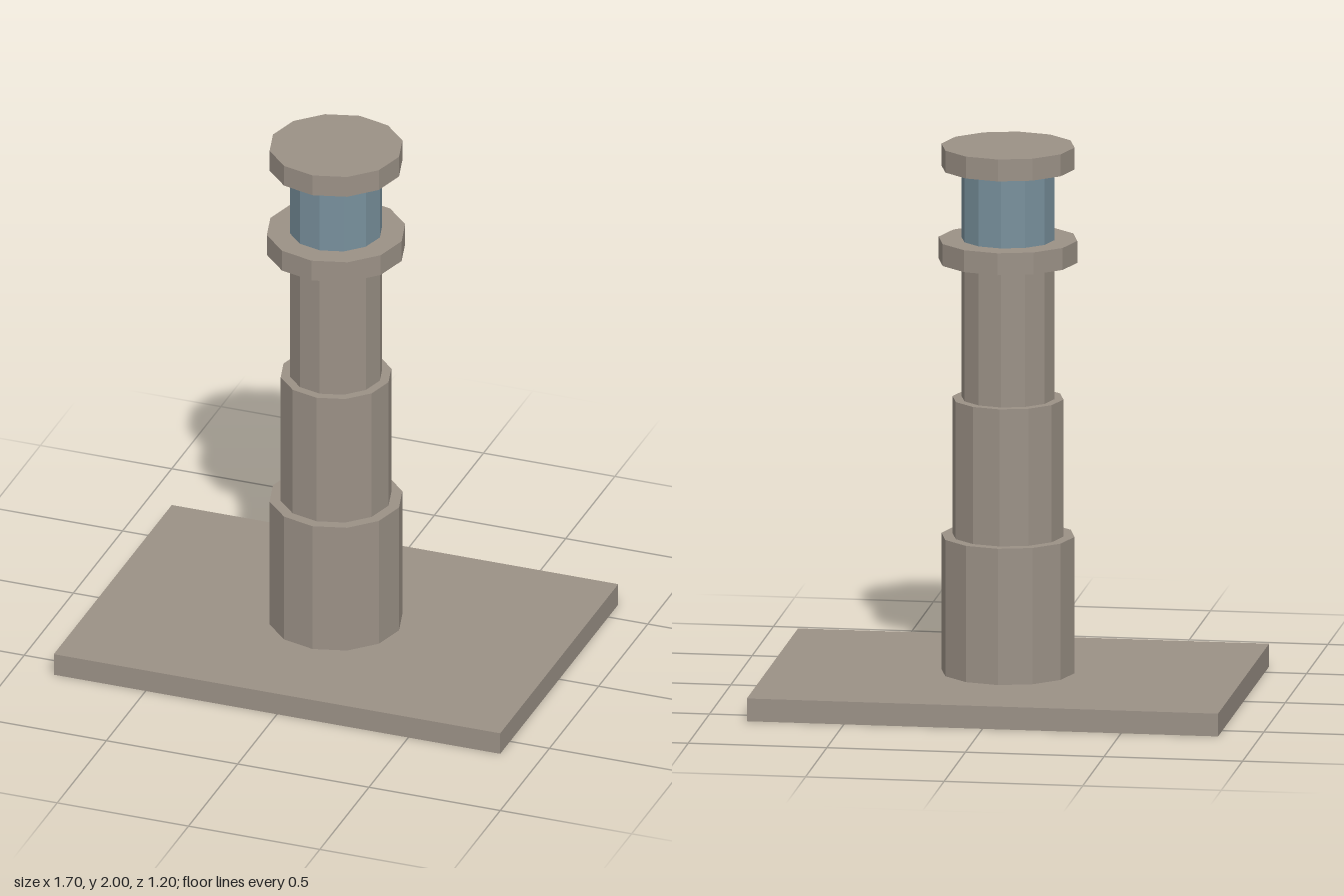
import * as THREE from 'three';

export function createModel() {
  const model = new THREE.Group();
  model.name = 'lighthouse';

  const stone = new THREE.MeshStandardMaterial({ color: 0x9b9186 });
  stone.name = 'warm grey stone';
  const glass = new THREE.MeshStandardMaterial({ color: 0x78909c });
  glass.name = 'blue grey glass';
  stone.flatShading = glass.flatShading = true;

  // Ground slab
  const slabHeight = 0.083;
  const slab = new THREE.Mesh(new THREE.BoxGeometry(1.7, slabHeight, 1.2), stone);
  slab.name = 'baseSlab';
  slab.position.y = slabHeight / 2;
  model.add(slab);

  // Twelve-sided drums stacked from the slab up: name, radius, top height, material
  const drums = [
    ['lowerTower', 0.24, 0.58, stone],
    ['middleTower', 0.2, 1.08, stone],
    ['upperTower', 0.167, 1.58, stone],
    ['gallery', 0.25, 1.66, stone],
    ['lanternRoom', 0.167, 1.92, glass],
    ['roofCap', 0.24, 2, stone],
  ];
  let bottom = slabHeight;
  for (const [name, radius, top, material] of drums) {
    const drum = new THREE.Mesh(new THREE.CylinderGeometry(radius, radius, top - bottom, 12), material);
    drum.name = name;
    drum.position.y = (top + bottom) / 2;
    model.add(drum);
    bottom = top;
  }

  return model;
}
